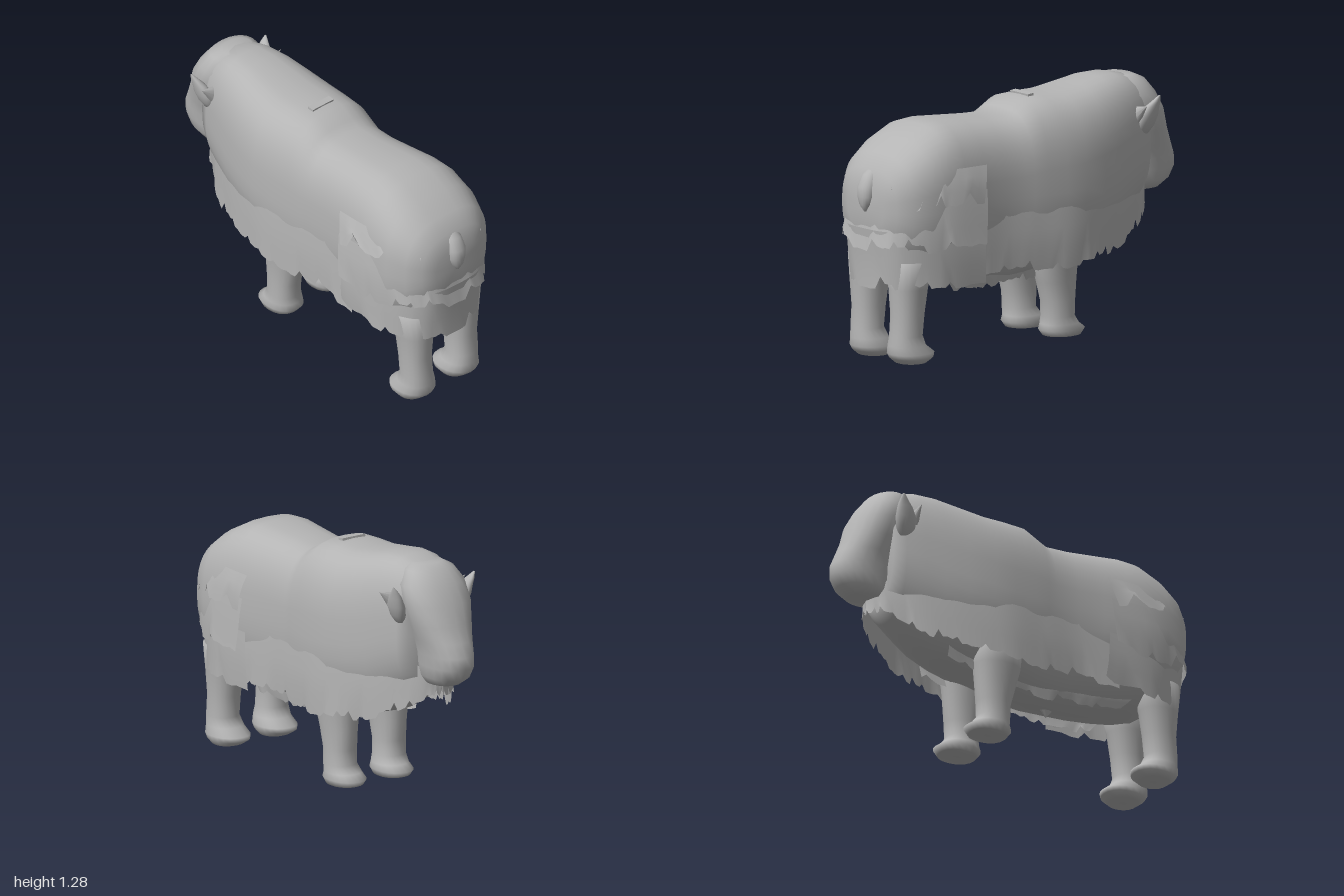
import * as THREE from 'three';

const fur = new THREE.MeshStandardMaterial({ color: 0xb4b4b4, side: THREE.DoubleSide });
fur.name = 'grey fur';

// small seeded generator for ragged fur
let seed = 7;
const rnd = () => ((seed = (seed * 16807) % 2147483647) / 2147483647);

function mesh(name, geo) {
  const m = new THREE.Mesh(geo, fur);
  m.name = name;
  return m;
}

function build(pos, idx) {
  const g = new THREE.BufferGeometry();
  g.setAttribute('position', new THREE.Float32BufferAttribute(pos, 3));
  g.setIndex(idx);
  g.computeVertexNormals();
  return g;
}

// smooth closed skin over a list of rings, capped at both ends
function loft(rings) {
  const n = rings[0].length, pos = [], idx = [];
  rings.forEach(r => r.forEach(p => pos.push(...p)));
  for (let i = 0; i < rings.length - 1; i++)
    for (let j = 0; j < n; j++) {
      const a = i * n + j, b = i * n + (j + 1) % n;
      idx.push(a, b, a + n, b, b + n, a + n);
    }
  [[0, 1], [rings.length - 1, -1]].forEach(([k, s]) => {
    const c = [0, 1, 2].map(d => rings[k].reduce((t, p) => t + p[d], 0) / n);
    const ci = pos.length / 3;
    pos.push(...c);
    for (let j = 0; j < n; j++) {
      const a = k * n + j, b = k * n + (j + 1) % n;
      s > 0 ? idx.push(ci, b, a) : idx.push(ci, a, b);
    }
  });
  // turn the skin outward
  const v = i => new THREE.Vector3(pos[3 * i], pos[3 * i + 1], pos[3 * i + 2]);
  let vol = 0;
  for (let i = 0; i < idx.length; i += 3) vol += v(idx[i]).dot(v(idx[i + 1]).cross(v(idx[i + 2])));
  if (vol < 0) idx.reverse();
  return build(pos, idx);
}

const pw = (v, e) => Math.sign(v) * Math.abs(v) ** e;
const angles = n => Array.from({ length: n }, (_, i) => (i / n) * Math.PI * 2);

// ring across the body, broad-backed with a rounded belly: [z, top, mid, bottom, halfWidth]
const bodyRing = ([z, top, mid, bot, w]) => angles(40).map(a => {
  const s = Math.sin(a), e = s > 0 ? 0.7 : 0.88;
  return [w * pw(Math.cos(a), e), mid + (s > 0 ? top - mid : mid - bot) * pw(s, e), z];
});

// level ring: [y, x, z, radiusX, radiusZ]
const levelRing = ([y, x, z, rx, rz]) => angles(20).map(a =>
  [x + rx * pw(Math.cos(a), 0.9), y, z + rz * pw(Math.sin(a), 0.9)]);

// sheet of fur in uneven clumps along a path of [x, z, topY, bottomY]; the top edge tucks in by inset
function fringe(path, n, jag, inset) {
  const low = new THREE.CatmullRomCurve3(path.map(p => new THREE.Vector3(p[0], p[3], p[1])));
  const high = new THREE.CatmullRomCurve3(path.map(p => new THREE.Vector3(p[0] * inset, p[2], p[1] > 0 ? p[1] * (inset + 0.01) : p[1])));
  const pos = [], idx = [], rows = 3, w = rows + 1;
  let clump = 0, left = 0, out = 1;
  for (let i = 0; i <= n; i++) {
    if (left-- <= 0) {
      left = 2 + Math.floor(rnd() * 4);
      clump = (rnd() - 0.5) * jag;
      out = 1 + (rnd() - 0.4) * 0.05;
    }
    const a = high.getPoint(i / n), b = low.getPoint(i / n);
    const drop = clump + (left === 0 ? -0.5 : rnd() * 0.35) * jag;
    for (let r = 0; r <= rows; r++) {
      const t = r / rows, p = a.clone().lerp(b, t);
      const k = r === rows ? out : 1 + 0.02 * Math.sin(t * Math.PI);
      pos.push(p.x * k, p.y - drop * t * t, p.z * (r === rows ? 1 + (out - 1) * 0.4 : 1));
    }
  }
  for (let i = 0; i < n; i++)
    for (let r = 0; r < rows; r++) {
      const a = i * w + r, b = a + w;
      idx.push(a, a + 1, b, b, a + 1, b + 1);
    }
  return build(pos, idx);
}

// rounded path round the rump, from flank to flank
const tier = (a, b, z0, top, bot) => Array.from({ length: 13 }, (_, i) => {
  const q = (i / 12) * Math.PI;
  return [a * pw(Math.cos(q), 0.6), z0 + b * Math.max(0, Math.sin(q)) ** 0.7, top, bot];
});

export function createModel() {
  seed = 7;
  const g = new THREE.Group();
  g.name = 'shagged ox';

  // barrel, humped shoulders and neck
  g.add(mesh('body', loft([
    [0.965, 0.89, 0.78, 0.66, 0.14], [0.94, 0.98, 0.78, 0.57, 0.215], [0.88, 1.05, 0.77, 0.47, 0.275],
    [0.78, 1.12, 0.77, 0.4, 0.312], [0.66, 1.18, 0.77, 0.37, 0.316], [0.56, 1.19, 0.77, 0.35, 0.306],
    [0.42, 1.18, 0.77, 0.33, 0.288], [0.28, 1.17, 0.77, 0.32, 0.272], [0.15, 1.165, 0.77, 0.315, 0.278],
    [0.1, 1.19, 0.77, 0.32, 0.284], [0.02, 1.235, 0.77, 0.33, 0.292], [-0.1, 1.24, 0.77, 0.35, 0.298],
    [-0.22, 1.24, 0.78, 0.38, 0.3], [-0.36, 1.262, 0.8, 0.41, 0.279], [-0.48, 1.283, 0.83, 0.45, 0.253],
    [-0.58, 1.285, 0.87, 0.51, 0.226], [-0.68, 1.265, 0.9, 0.58, 0.198], [-0.74, 1.21, 0.92, 0.64, 0.168],
  ].map(bodyRing))));

  // broad head narrowing to the muzzle
  g.add(mesh('head', loft([
    [1.265, 0, -0.67, 0.085, 0.06], [1.24, 0, -0.69, 0.13, 0.095], [1.17, 0, -0.715, 0.174, 0.125],
    [1.08, 0, -0.75, 0.18, 0.142], [0.98, 0, -0.775, 0.16, 0.15], [0.9, 0, -0.8, 0.136, 0.162],
    [0.83, 0, -0.82, 0.122, 0.174], [0.77, 0, -0.825, 0.118, 0.172], [0.71, 0, -0.815, 0.106, 0.15],
    [0.67, 0, -0.8, 0.08, 0.105],
  ].map(levelRing))));

  // short wedge of a tail
  g.add(mesh('tail', loft([
    [1.0, 0, 0.88, 0.02, 0.03], [0.95, 0, 0.92, 0.045, 0.05], [0.89, 0, 0.95, 0.052, 0.05],
    [0.84, 0, 0.955, 0.05, 0.045], [0.8, 0, 0.955, 0.033, 0.04], [0.765, 0, 0.96, 0.006, 0.015],
  ].map(levelRing))));

  for (const s of [1, -1]) {
    const side = s > 0 ? 'left' : 'right';
    const x = 0.152 * s, foot = 0.146 * s;
    // legs end in spread feet pointing forward
    g.add(mesh(side + 'HindLeg', loft([
      [0.52, x, 0.8, 0.11, 0.12], [0.38, x, 0.815, 0.09, 0.1], [0.25, x, 0.82, 0.08, 0.085],
      [0.14, x, 0.83, 0.08, 0.082], [0.09, foot, 0.82, 0.09, 0.095], [0.05, foot, 0.795, 0.104, 0.122],
      [0.025, foot, 0.79, 0.1, 0.112], [0.0, foot, 0.795, 0.08, 0.075],
    ].map(levelRing))));
    g.add(mesh(side + 'ForeLeg', loft([
      [0.52, x, -0.13, 0.11, 0.14], [0.4, x, -0.13, 0.095, 0.125], [0.3, x, -0.14, 0.083, 0.108],
      [0.2, x, -0.15, 0.078, 0.09], [0.12, x, -0.15, 0.08, 0.085], [0.08, foot, -0.165, 0.088, 0.1],
      [0.05, foot, -0.18, 0.096, 0.125], [0.02, foot, -0.18, 0.085, 0.1],
    ].map(levelRing))));

    // horn hugging the cheek, its tip turned up: [y, x, z, radiusX, radiusZ]
    g.add(mesh(side + 'Horn', loft([
      [0.98, 0.175, -0.68, 0.02, 0.03], [1.02, 0.19, -0.685, 0.03, 0.05], [1.07, 0.205, -0.69, 0.034, 0.058],
      [1.12, 0.22, -0.705, 0.026, 0.042], [1.15, 0.235, -0.72, 0.016, 0.024], [1.18, 0.25, -0.73, 0.004, 0.005],
    ].map(([hy, hx, ...r]) => levelRing([hy, s * hx, ...r])))));

    // pointed ear behind the horn
    const ear = mesh(side + 'Ear', new THREE.ConeGeometry(0.045, 0.1, 10));
    ear.scale.z = 0.6;
    ear.position.set(s * 0.225, 1.11, -0.635);
    ear.rotation.z = -s * 1.0;
    g.add(ear);

    // hem along the flank and under the throat
    g.add(mesh(side + 'FlankFringe', fringe([
      [0.282, 0.5, 0.7, 0.42], [0.272, 0.28, 0.7, 0.42], [0.285, 0.08, 0.7, 0.42], [0.298, -0.14, 0.7, 0.41],
      [0.272, -0.32, 0.72, 0.42], [0.225, -0.5, 0.75, 0.46], [0.165, -0.65, 0.78, 0.53], [0.08, -0.77, 0.74, 0.6], [0, -0.8, 0.72, 0.6],
    ].map(([px, ...r]) => [s * px, ...r]), 60, 0.04, 0.99)));

    // inner belly hair
    g.add(mesh(side + 'BellyFringe', fringe([
      [0.15, 0.6, 0.46, 0.36], [0.14, 0.35, 0.43, 0.33], [0.13, 0.1, 0.43, 0.33], [0.13, -0.1, 0.46, 0.36], [0.13, -0.4, 0.52, 0.42],
    ].map(([px, ...r]) => [s * px, ...r]), 36, 0.03, 1.15)));
  }

  // overlapping ragged tiers of fur round the rump
  g.add(mesh('upperRumpFur', fringe(tier(0.335, 0.5, 0.47, 0.98, 0.84), 52, 0.08, 0.9)));
  g.add(mesh('middleRumpFur', fringe(tier(0.338, 0.52, 0.46, 0.86, 0.61), 52, 0.05, 0.95)));
  g.add(mesh('lowerRumpFur', fringe(tier(0.295, 0.52, 0.43, 0.68, 0.4), 52, 0.045, 1.02)));

  // hanging belly tuft
  const tuft = mesh('bellyTuft', new THREE.ConeGeometry(0.045, 0.13, 10));
  tuft.rotation.x = Math.PI;
  tuft.scale.z = 2.5;
  tuft.position.set(0, 0.345, 0.25);
  g.add(tuft);

  // small lifted lock on the withers
  const lock = mesh('withersLock', new THREE.BoxGeometry(0.14, 0.016, 0.035));
  lock.position.set(0, 1.238, -0.045);
  lock.rotation.x = 0.1;
  g.add(lock);
  return g;
}
